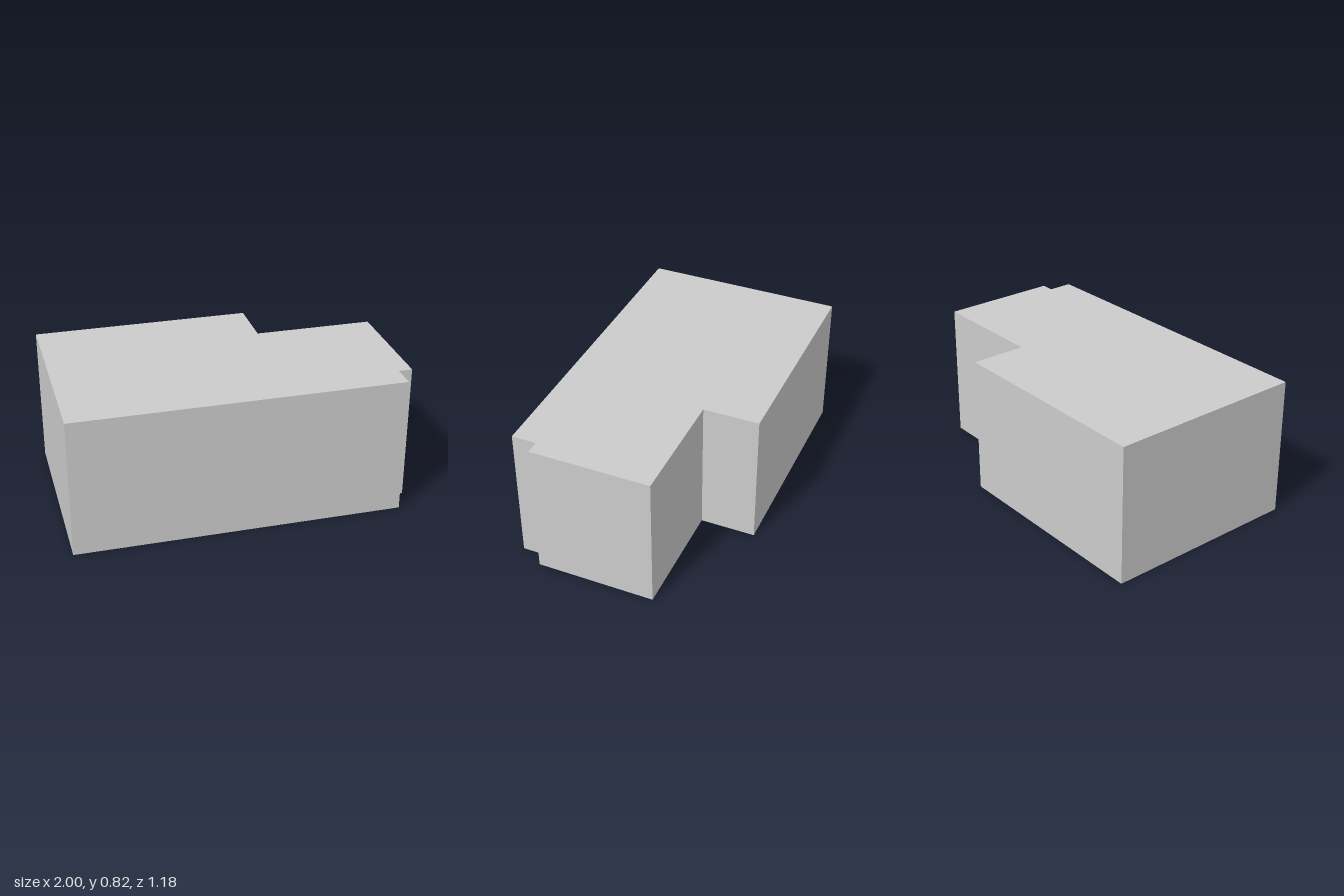
import * as THREE from 'three';

const HEIGHT = 0.82;

// Floor plan corners as [x, z], with a large back notch and a small front notch
const PLAN = [
  [-1, 0.588], [0.92, 0.588], [0.92, 0.443], [1, 0.443],
  [1, -0.26], [0.295, -0.26], [0.295, -0.588], [-1, -0.588],
];

export function createModel() {
  const group = new THREE.Group();
  group.name = 'building';

  // Plan z becomes -y in the shape, so that tipping it upright restores it
  const shape = new THREE.Shape(PLAN.map(([x, z]) => new THREE.Vector2(x, -z)));
  const geometry = new THREE.ExtrudeGeometry(shape, { depth: HEIGHT, bevelEnabled: false });
  geometry.rotateX(-Math.PI / 2);

  const block = new THREE.Mesh(
    geometry,
    new THREE.MeshStandardMaterial({ color: 0xcccccc, flatShading: true }),
  );
  block.name = 'buildingBlock';
  group.add(block);
  return group;
}
